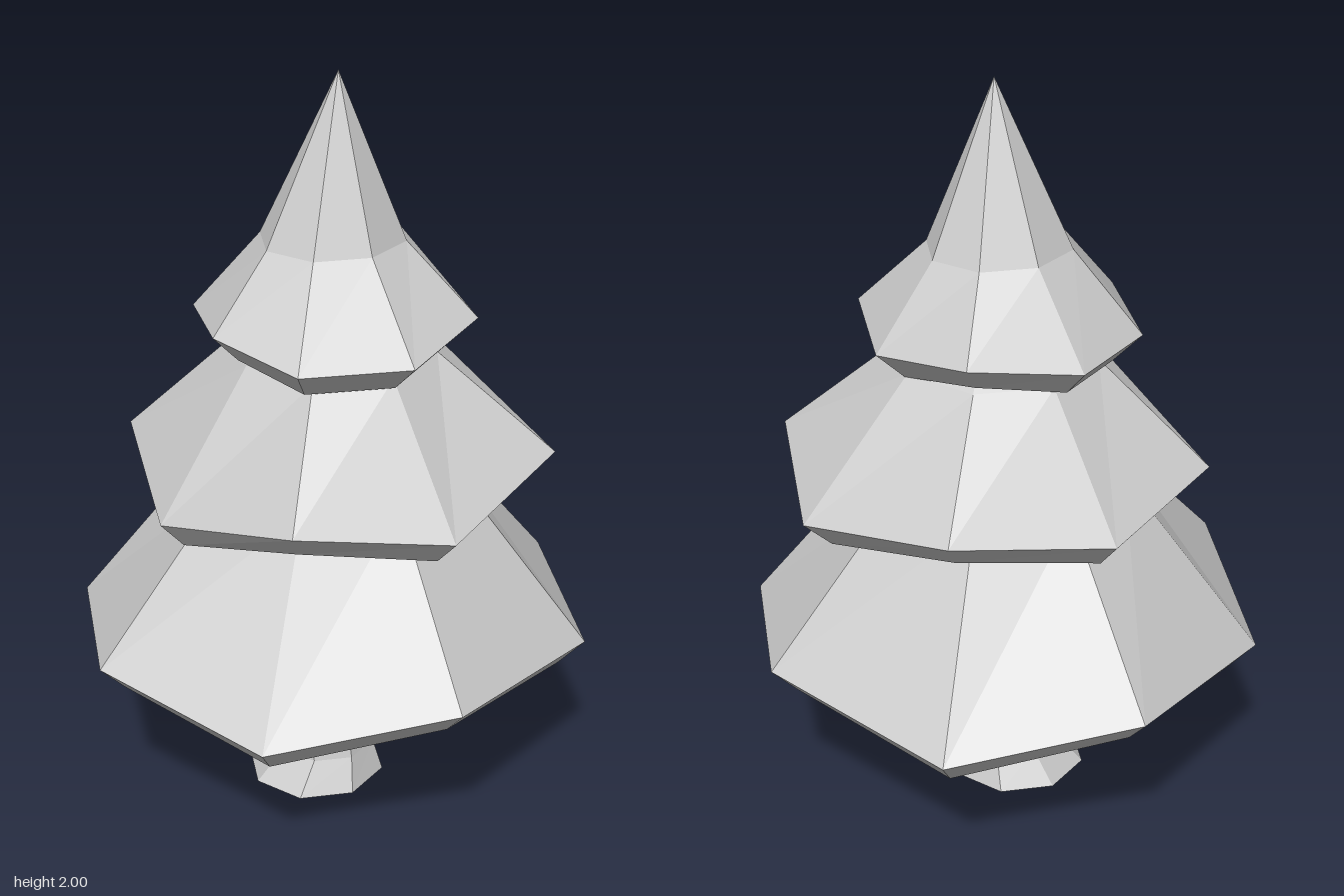
import * as THREE from 'three';

const SIDES = 8;
const material = new THREE.MeshStandardMaterial({ color: 0xcccccc, flatShading: true });

// Regular ring of points, running from +x towards +z
const ring = (cx, y, cz, rx, rz = rx) =>
  Array.from({ length: SIDES }, (_, i) => {
    const a = (i / SIDES) * Math.PI * 2;
    return new THREE.Vector3(cx + rx * Math.cos(a), y, cz + rz * Math.sin(a));
  });

const pole = (x, y, z) => ring(x, y, z, 0);

// Skin a sequence of rings with flat facets; zero-radius rings close the ends
function loft(name, rings) {
  const pos = [];
  const tri = (a, b, c) => {
    if (a.distanceTo(b) < 1e-6 || b.distanceTo(c) < 1e-6 || a.distanceTo(c) < 1e-6) return;
    for (const p of [a, b, c]) pos.push(p.x, p.y, p.z);
  };
  for (let r = 0; r < rings.length - 1; r++) {
    const a = rings[r], b = rings[r + 1];
    for (let i = 0; i < SIDES; i++) {
      const j = (i + 1) % SIDES;
      tri(a[i], b[i], a[j]);
      tri(a[j], b[i], b[j]);
    }
  }
  const geometry = new THREE.BufferGeometry();
  geometry.setAttribute('position', new THREE.Float32BufferAttribute(pos, 3));
  geometry.computeVertexNormals();
  const mesh = new THREE.Mesh(geometry, material);
  mesh.name = name;
  return mesh;
}

// Hollow skirt of foliage: inner cone, bevelled lip, wavy rim, upper cone
function tier({ name, rim, lip, drop, inner, upper, apex }) {
  const edge = rim.map((p) => new THREE.Vector3(...p));
  const lower = edge.map((p) => new THREE.Vector3(p.x * lip, p.y - drop, p.z * lip));
  const [innerR, innerY] = inner;
  return loft(name, [
    pole(0, innerY + 0.06, 0),
    ring(0, innerY, 0, innerR),
    lower,
    edge,
    upper,
    pole(...apex),
  ]);
}

export function createModel() {
  const tree = new THREE.Group();
  tree.name = 'tree';

  // Trunk with flared foot
  tree.add(loft('trunk', [
    pole(-0.035, 0, 0),
    ring(-0.035, 0, 0, 0.192, 0.188),
    ring(-0.015, 0.09, 0.015, 0.137),
    ring(-0.015, 0.28, 0, 0.105),
    ring(-0.022, 0.46, 0, 0.1),
    ring(-0.01, 0.95, 0, 0.09),
    pole(0, 0.95, 0),
  ]));

  // Foliage, from the widest tier up
  tree.add(tier({
    name: 'lowerFoliage',
    rim: [
      [0.69, 0.51, 0.05], [0.5, 0.475, 0.5], [-0.04, 0.535, 0.685], [-0.5, 0.475, 0.49],
      [-0.7, 0.54, 0.02], [-0.49, 0.47, -0.48], [0.03, 0.53, -0.69], [0.49, 0.45, -0.48],
    ],
    lip: 0.9, drop: 0.076, inner: [0.25, 0.85],
    upper: ring(0.01, 0.95, 0, 0.325), apex: [0.01, 1.25, 0],
  }));

  tree.add(tier({
    name: 'middleFoliage',
    rim: [
      [0.6, 0.945, 0], [0.44, 1.02, 0.405], [0.02, 0.94, 0.555], [-0.36, 1.0, 0.41],
      [-0.51, 0.905, 0.02], [-0.38, 1.0, -0.38], [0.02, 0.96, -0.535], [0.415, 1.01, -0.395],
    ],
    lip: 0.87, drop: 0.077, inner: [0.2, 1.17],
    upper: ring(0.02, 1.28, 0.01, 0.265), apex: [0.02, 1.5, 0.01],
  }));

  tree.add(tier({
    name: 'topFoliage',
    rim: [
      [0.37, 1.35, 0.015], [0.275, 1.385, 0.275], [0.01, 1.345, 0.38], [-0.255, 1.345, 0.27],
      [-0.345, 1.38, 0.02], [-0.25, 1.355, -0.25], [0, 1.35, -0.355], [0.27, 1.385, -0.25],
    ],
    lip: 0.79, drop: 0.077, inner: [0.14, 1.48],
    upper: ring(0.015, 1.57, 0.005, 0.195, 0.178), apex: [0.02, 2, 0.02],
  }));

  return tree;
}
